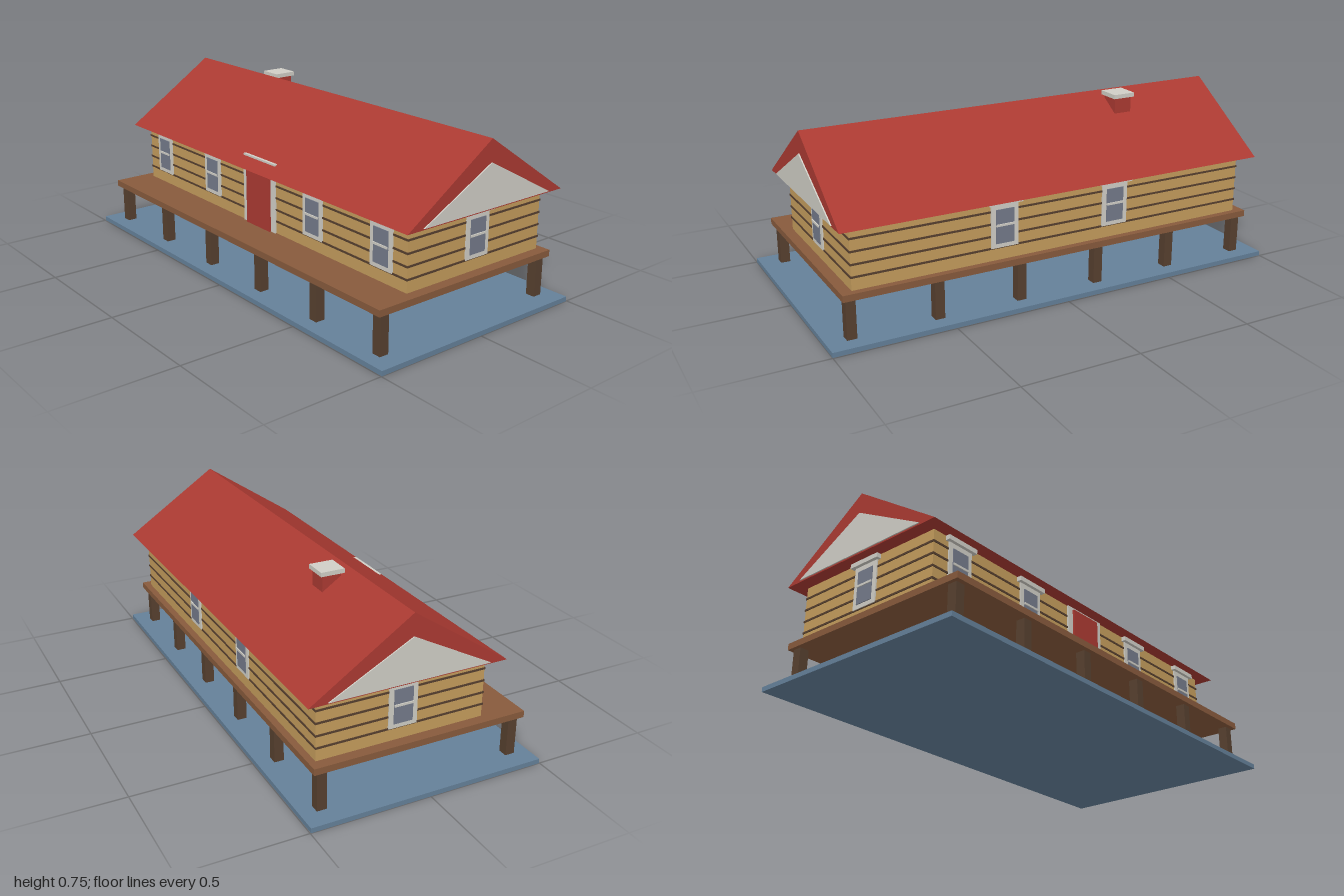
import * as THREE from 'three';

const mat = (name, color) => {
  const m = new THREE.MeshStandardMaterial({ color });
  m.name = name;
  return m;
};

export function createModel() {
  const house = new THREE.Group();
  house.name = 'stiltCabin';
  const water = mat('water blue', 0x648099);
  const deckWood = mat('deck brown', 0x875a3c);
  const darkWood = mat('dark brown', 0x57402f);
  const logWood = mat('log tan', 0xc49c5c);
  const red = mat('roof red', 0xab3a32);
  const trim = mat('trim grey', 0xd0cec6);
  const glass = mat('glass grey', 0x747a8a);

  // Box given by its minimum and maximum corners
  const box = (parent, name, m, x0, x1, y0, y1, z0, z1) => {
    const mesh = new THREE.Mesh(new THREE.BoxGeometry(x1 - x0, y1 - y0, z1 - z0), m);
    mesh.position.set((x0 + x1) / 2, (y0 + y1) / 2, (z0 + z1) / 2);
    mesh.name = name;
    parent.add(mesh);
    return mesh;
  };

  // Triangular prism running along x, with its triangle in z and y
  const prism = (name, m, zFront, zBack, y0, y1, x0, x1) => {
    const s = new THREE.Shape();
    s.moveTo(-zFront, y0);
    s.lineTo(-zBack, y0);
    s.lineTo(-(zFront + zBack) / 2, y1);
    const geo = new THREE.ExtrudeGeometry(s, { depth: x1 - x0, bevelEnabled: false });
    geo.rotateY(Math.PI / 2);
    geo.translate(x0, 0, 0);
    const mesh = new THREE.Mesh(geo, m);
    mesh.name = name;
    house.add(mesh);
  };

  // Ground slab, posts and deck
  box(house, 'groundSlab', water, -1, 1, 0, 0.02, -0.497, 0.497);
  for (let i = 0; i < 6; i++) {
    const x = -0.9 + i * 0.36;
    for (const z of [-0.413, 0.415])
      box(house, 'post', darkWood, x - 0.02, x + 0.02, 0.02, 0.185, z - 0.02, z + 0.02);
  }
  box(house, 'deck', deckWood, -0.935, 0.935, 0.185, 0.212, -0.452, 0.454);

  // Log walls with dark seams between the logs
  box(house, 'walls', logWood, -0.89, 0.89, 0.212, 0.466, -0.424, 0.284);
  for (const y of [0.265, 0.315, 0.366, 0.417])
    box(house, 'logSeam', darkWood, -0.893, 0.893, y - 0.004, y + 0.004, -0.427, 0.287);

  // Roof and gable panels
  prism('roof', red, 0.341, -0.481, 0.466, 0.741, -0.945, 0.945);
  prism('rightGablePanel', trim, 0.265, -0.405, 0.472, 0.65, -0.95, -0.944);
  prism('leftGablePanel', trim, 0.265, -0.405, 0.472, 0.65, 0.944, 0.95);

  // Chimney
  box(house, 'chimney', red, -0.485, -0.405, 0.6, 0.728, -0.19, -0.11);
  box(house, 'chimneyCap', trim, -0.495, -0.395, 0.727, 0.745, -0.2, -0.1);

  // Front door with frame and a header that breaks through the roof
  box(house, 'doorFrame', trim, -0.11, 0.11, 0.212, 0.466, 0.28, 0.291);
  box(house, 'door', red, -0.08, 0.08, 0.212, 0.455, 0.288, 0.299);
  box(house, 'doorHeader', trim, -0.11, 0.11, 0.466, 0.509, 0.27, 0.289);

  // Window facing +z, then turned and placed on each wall
  const addWindow = (x, z, turn) => {
    const w = new THREE.Group();
    w.name = 'window';
    box(w, 'windowFrame', trim, -0.06, 0.06, 0.265, 0.45, -0.002, 0.006);
    box(w, 'windowGlass', glass, -0.04, 0.04, 0.283, 0.424, 0.003, 0.009);
    box(w, 'windowBar', trim, -0.04, 0.04, 0.355, 0.364, 0.004, 0.013);
    box(w, 'windowHeader', trim, -0.074, 0.074, 0.446, 0.465, -0.002, 0.02);
    w.position.set(x, 0, z);
    w.rotation.y = turn;
    house.add(w);
  };
  for (const x of [-0.755, -0.353, 0.353, 0.755]) addWindow(x, 0.284, 0);
  for (const x of [-0.255, 0.255]) addWindow(x, -0.424, Math.PI);
  for (const s of [-1, 1]) addWindow(s * 0.89, -0.07, (s * Math.PI) / 2);

  return house;
}
